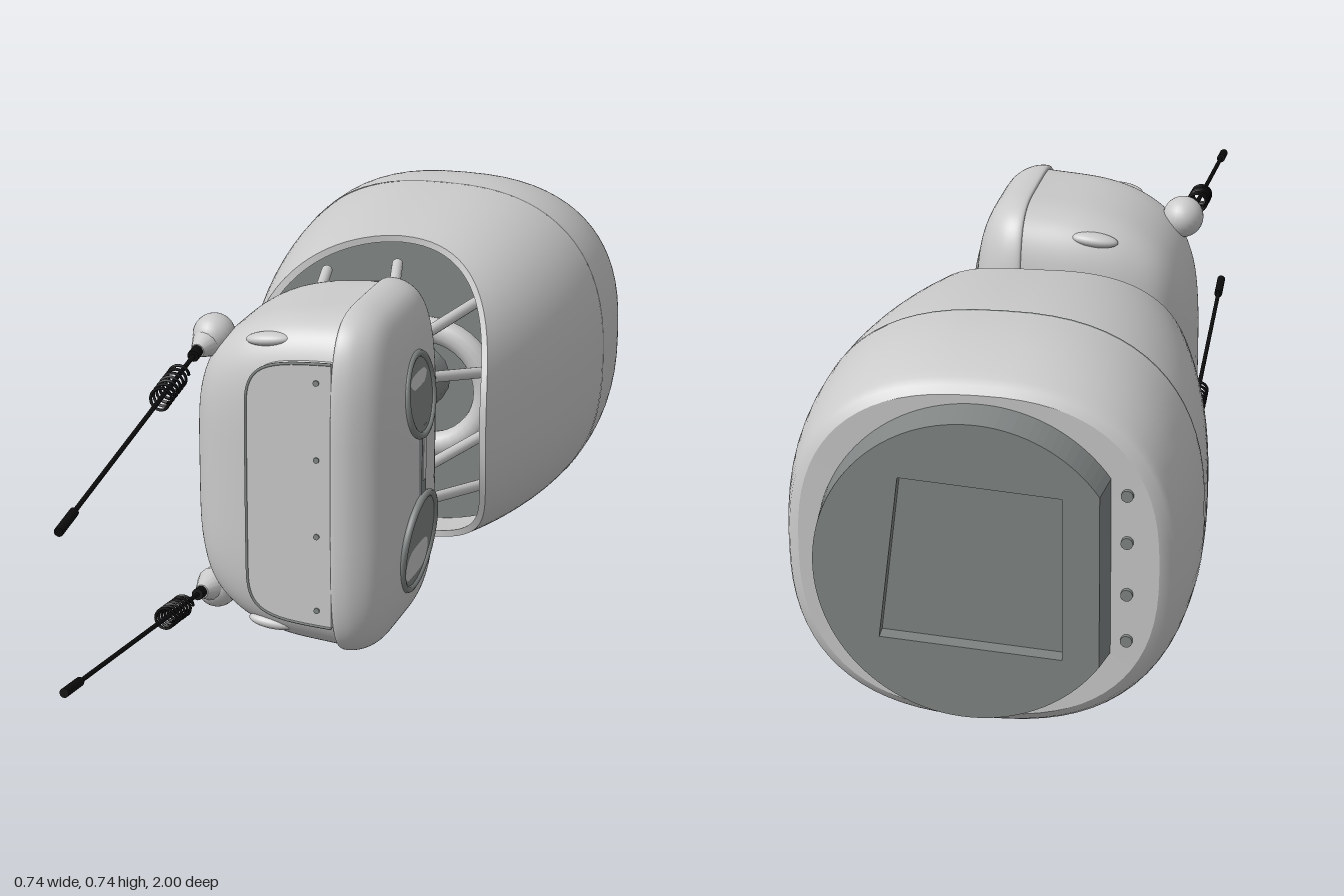
import * as THREE from 'three';

const mat = (name, color) => new THREE.MeshStandardMaterial({ name, color, side: THREE.DoubleSide });
const V = (x, y, z) => new THREE.Vector3(x, y, z);
const CY = 0.375; // height of the main axis

export function createModel() {
  const shellGrey = mat('shell grey', 0xcacaca);
  const darkGrey = mat('dark grey', 0x818685);
  const black = mat('black', 0x0c0c0c);
  const model = new THREE.Group();

  const add = (name, geo, material, parent = model) => {
    const m = new THREE.Mesh(geo, material);
    m.name = name;
    parent.add(m);
    return m;
  };

  // Skin over a list of closed rings with equal point counts
  const loft = (rings) => {
    const n = rings[0].length, index = [];
    const geo = new THREE.BufferGeometry().setFromPoints(rings.flat());
    for (let i = 0; i < rings.length - 1; i++) {
      for (let j = 0; j < n; j++) {
        const a = i * n + j, b = i * n + (j + 1) % n;
        index.push(a, a + n, b, b, a + n, b + n);
      }
    }
    geo.setIndex(index);
    geo.computeVertexNormals();
    return geo;
  };
  // Superellipse ring: place(c, s, angle) maps the unit curve into space
  const ring = (power, place, n = 72) => Array.from({ length: n }, (_, i) => {
    const t = i / n * Math.PI * 2;
    const f = (v) => Math.sign(v) * Math.abs(v) ** (2 / power);
    return place(f(Math.cos(t)), f(Math.sin(t)), t);
  });
  // Straight round bar between two points
  const rod = (name, a, b, r, material, parent, r2 = r) => {
    const d = b.clone().sub(a);
    const m = add(name, new THREE.CylinderGeometry(r2, r, d.length(), 14), material, parent);
    m.position.copy(a).addScaledVector(d, 0.5);
    m.quaternion.setFromUnitVectors(V(0, 1, 0), d.normalize());
    return m;
  };
  const ball = (name, p, sx, sy, sz, material, parent) => {
    const m = add(name, new THREE.SphereGeometry(1, 24, 16), material, parent);
    m.scale.set(sx, sy, sz);
    m.position.copy(p);
    return m;
  };

  // ---- Head: sections along x, each [x, half depth, half height]
  const headZ = 0.105;
  const headPart = (name, sections, steps) => {
    const curve = new THREE.CatmullRomCurve3(sections.map((s) => V(...s)), false, 'centripetal');
    const rings = curve.getPoints(steps).map((p) =>
      ring(4.6, (c, s) => V(p.x, CY + p.z * s, headZ + p.y * c), 96));
    return add(name, loft(rings), shellGrey);
  };
  headPart('headBody', [[-0.25, 0, 0], [-0.246, 0.07, 0.1], [-0.228, 0.125, 0.2], [-0.19, 0.17, 0.265],
    [-0.13, 0.195, 0.31], [-0.05, 0.208, 0.338], [0.08, 0.213, 0.352]], 40);
  headPart('headFacePlate', [[0.078, 0.208, 0.346], [0.079, 0.219, 0.358], [0.11, 0.217, 0.357], [0.145, 0.198, 0.338],
    [0.17, 0.168, 0.292], [0.188, 0.115, 0.2], [0.196, 0.06, 0.1], [0.198, 0, 0]], 40);

  // Front panel with rounded outer corners, outline and bolts
  const panel = new THREE.Shape();
  panel.moveTo(0.078, 0.1);
  panel.bezierCurveTo(-0.05, 0.105, -0.098, 0.11, -0.098, 0.2);
  panel.lineTo(-0.098, 0.55);
  panel.bezierCurveTo(-0.098, 0.64, -0.05, 0.645, 0.078, 0.65);
  const panelGeo = new THREE.ExtrudeGeometry(panel, { depth: 0.05, bevelEnabled: false, curveSegments: 16 });
  add('frontPanel', panelGeo, shellGrey).position.z = 0.268;
  const rim = new THREE.CatmullRomCurve3(panel.getPoints(16).map((p) => V(p.x, p.y, 0.317)));
  add('frontPanelRim', new THREE.TubeGeometry(rim, 80, 0.003, 6), darkGrey);
  for (const y of [0.135, 0.292, 0.452, 0.61]) {
    rod('panelBolt', V(0.048, y, 0.31), V(0.048, y, 0.321), 0.006, darkGrey);
  }

  // Eyes on the +x face, with joining bar
  for (const [y, r, tilt] of [[0.532, 0.088, 0.12], [0.222, 0.108, -0.12]]) {
    const eye = new THREE.Group();
    eye.name = 'eye';
    eye.position.set(0.181, y, headZ);
    eye.rotation.z = tilt;
    model.add(eye);
    rod('eyeDisc', V(-0.03, 0, 0), V(0.012, 0, 0), r * 0.96, darkGrey, eye).geometry =
      new THREE.CylinderGeometry(r * 0.96, r * 0.96, 0.042, 48);
    const bezel = add('eyeBezel', new THREE.TorusGeometry(r * 0.93, 0.008, 8, 56), darkGrey, eye);
    bezel.rotation.y = Math.PI / 2;
    bezel.position.x = 0.01;
  }
  add('eyeBar', new THREE.BoxGeometry(0.02, 0.16, 0.03), darkGrey).position.set(0.191, 0.39, headZ);
  add('eyeBarClip', new THREE.BoxGeometry(0.02, 0.09, 0.018), shellGrey).position.set(0.193, 0.4, headZ);

  // Antennas and brow ridges, mirrored about the middle height
  const makeSide = (s) => {
    const at = (x, dy, z) => V(x, CY + s * dy, z);
    const side = new THREE.Group();
    side.name = s > 0 ? 'upperAntenna' : 'lowerAntenna';
    model.add(side);
    ball('antennaPod', at(-0.208, 0.27, 0.195), 0.042, 0.042, 0.046, shellGrey, side);
    rod('antennaCone', at(-0.212, 0.262, 0.21), at(-0.216, 0.256, 0.265), 0.036, shellGrey, side, 0.014);
    const start = at(-0.217, 0.258, 0.25), end = at(-0.194, 0.155, 1);
    const along = (z) => start.clone().lerp(end, (z - 0.25) / 0.75);
    rod('antennaRod', start, along(0.99), 0.0045, black, side);
    rod('antennaSocket', along(0.25), along(0.29), 0.012, black, side);
    const tip = rod('antennaTip', along(0.925), end, 0.009, black, side);
    tip.position.z -= 0.001;
    const pts = Array.from({ length: 113 }, (_, i) => {
      const a = i / 16 * Math.PI * 2;
      return along(0.37 + 0.115 * i / 112).add(V(Math.cos(a) * 0.02, Math.sin(a) * 0.02, 0));
    });
    add('antennaSpring', new THREE.TubeGeometry(new THREE.CatmullRomCurve3(pts), 168, 0.003, 6), black, side);
    for (const z of [0.268, -0.06]) {
      ball('browRidge', at(-0.065, 0.298, z), 0.048, 0.014, 0.022, shellGrey, side).rotation.z = s * 0.1;
    }
    // Struts from the back of the head into the shell
    for (const [x, dy, x2, dy2, z2] of [[-0.14, 0.17, -0.19, 0.22, -0.44], [0.04, 0.19, -0.03, 0.25, -0.44],
      [0.1, 0.18, 0.2, 0.22, -0.44], [0.12, 0.1, 0.26, 0.05, -0.42]]) {
      rod('neckStrut', at(x, dy, -0.155), at(x2, dy2, z2), 0.012, shellGrey, side);
      ball('strutJoint', at(x, dy, -0.155), 0.024, 0.024, 0.024, shellGrey, side);
      rod('strutMount', at(x * 0.8, dy, -0.06), at(x, dy, -0.155), 0.016, darkGrey, side);
    }
    ball('shellKnob', at(0.237, 0.182, -0.38), 0.02, 0.02, 0.02, shellGrey, side);
  };
  makeSide(1);
  makeSide(-1);

  // ---- Neck and interior
  add('neckBlock', new THREE.BoxGeometry(0.13, 0.3, 0.1), shellGrey).position.set(-0.055, CY, -0.125);
  rod('neckTube', V(0, CY, -0.14), V(0.02, CY, -0.45), 0.07, darkGrey);
  add('neckRing', new THREE.TorusGeometry(0.13, 0.028, 14, 40), shellGrey).position.set(0.06, CY, -0.38);

  // ---- Shell: front hood with scooped opening
  const SEAM = -0.68;
  const hoodSize = (z) => {
    const t = Math.max(0, (z - SEAM) / 0.565) ** 1.7;
    return [0.37 - 0.105 * t, 0.37 - 0.085 * t];
  };
  const edge = (a) => {
    const c = Math.cos(a);
    return -0.36 + (c > 0 ? 0.245 * c ** 1.7 : 0.16 * (-c) ** 1.15);
  };
  const hoodRing = (k, inset) => ring(2.5, (c, s, a) => {
    const z = THREE.MathUtils.lerp(edge(a), SEAM, k);
    const [w, h] = hoodSize(z);
    return V((w - inset) * c, CY + (h - inset) * s, z);
  }, 120);
  const steps = Array.from({ length: 17 }, (_, i) => i / 16);
  add('hoodOuter', loft(steps.map((k) => hoodRing(k, 0))), shellGrey);
  add('hoodInner', loft(steps.map((k) => hoodRing(1 - k, 0.014))), shellGrey);
  add('hoodRim', loft([hoodRing(0, 0.014), hoodRing(0, 0)]), shellGrey);
  const section = (w, h, z) => ring(2.5, (c, s) => V(w * c, CY + h * s, z));
  add('bulkhead', loft([section(0, 0, -0.46), section(0.335, 0.335, -0.46)]), darkGrey);

  // Rear band, slightly proud of the hood at the seam
  const band = steps.map((k) =>
    section(0.371 - 0.022 * k ** 3, 0.371 - 0.04 * k ** 2.5, SEAM - 0.225 * k));
  band.push(section(0.343, 0.322, -0.92), section(0.325, 0.308, -0.93));
  add('rearBand', loft(band), shellGrey);
  add('rearFace', loft([section(0.325, 0.308, -0.93), section(0, 0, -0.925)]), shellGrey);
  add('seamLine', loft([section(0.3715, 0.3715, SEAM + 0.004), section(0.3715, 0.3715, SEAM - 0.002)]), darkGrey);

  // ---- Rear cap: disc with one flat side and a square recess
  const capOutline = (r) => {
    const cut = Math.acos(-0.245 / 0.3);
    const shape = new THREE.Shape();
    shape.absarc(0, 0, r, -cut, cut, false);
    shape.closePath();
    return shape;
  };
  const capShape = capOutline(0.292);
  const hole = new THREE.Path();
  [[-0.17, -0.16], [-0.17, 0.16], [0.13, 0.18], [0.17, -0.14]].forEach(([x, y], i) =>
    i ? hole.lineTo(x, y) : hole.moveTo(x, y));
  capShape.holes.push(hole);
  const capGeo = new THREE.ExtrudeGeometry(capShape, { depth: 0.09, bevelEnabled: false, curveSegments: 48 });
  // Narrow the cap toward its outer end
  const pos = capGeo.attributes.position;
  for (let i = 0; i < pos.count; i++) {
    const k = pos.getZ(i) < 0.01 ? 0.965 : 1.01;
    pos.setXY(i, Math.max(pos.getX(i) * k, -0.245), pos.getY(i) * k);
  }
  capGeo.computeVertexNormals();
  add('rearCap', capGeo, darkGrey).position.set(0, CY, -1);
  const recess = add('capRecess', new THREE.CylinderGeometry(0.1, 0.25, 0.03, 4, 1, false, Math.PI / 4).toNonIndexed(), darkGrey);
  recess.geometry.computeVertexNormals();
  recess.rotation.x = Math.PI / 2;
  recess.position.set(0, CY, -0.948);
  for (const dy of [-0.14, -0.05, 0.05, 0.14]) {
    rod('rearBolt', V(-0.268, CY + dy, -0.92), V(-0.268, CY + dy, -0.938), 0.011, darkGrey);
  }

  return model;
}
